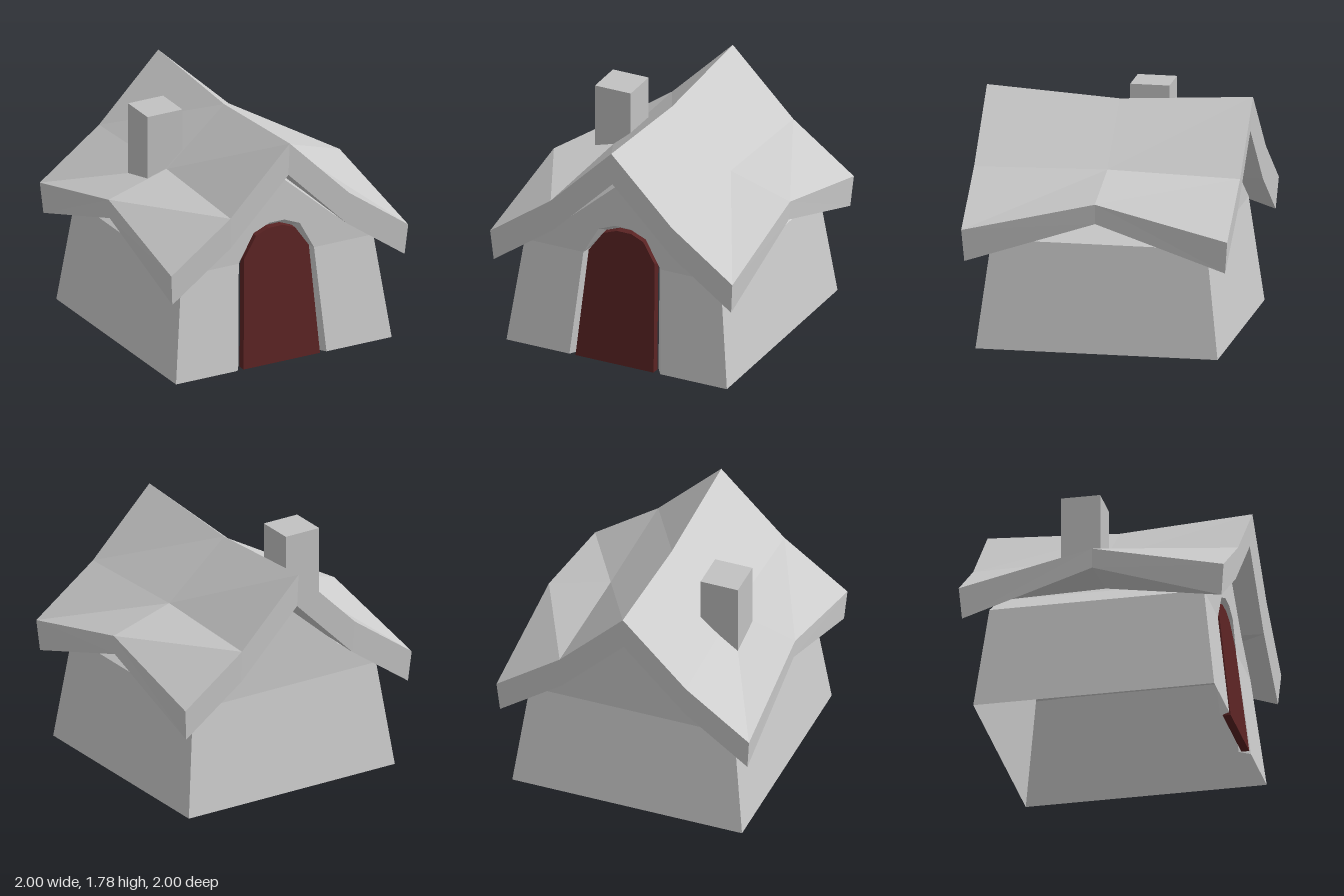
import * as THREE from 'three';

// Flat-shaded quad strip between two matching rows of [x, y, z] points
function strip(a, b) {
  const pos = [];
  for (let i = 0; i < a.length - 1; i++) {
    pos.push(...a[i], ...b[i], ...b[i + 1], ...a[i], ...b[i + 1], ...a[i + 1]);
  }
  const g = new THREE.BufferGeometry();
  g.setAttribute('position', new THREE.Float32BufferAttribute(pos, 3));
  g.computeVertexNormals();
  return g;
}

// Flat outline in x/y, pushed onto a surface z(y)
function panel(points, z) {
  const shape = new THREE.Shape(points.map(([x, y]) => new THREE.Vector2(x, y)));
  const g = new THREE.ShapeGeometry(shape).toNonIndexed();
  const p = g.attributes.position;
  for (let i = 0; i < p.count; i++) p.setZ(i, z(p.getY(i)));
  g.computeVertexNormals();
  return g;
}

// Half profile from the centre outwards -> full profile from -x to +x
const mirror = half => [
  ...half.slice(1).reverse().map(([x, y, ...r]) => [-x, y, ...r]),
  ...half,
];

export function createModel() {
  const model = new THREE.Group();
  const stone = new THREE.MeshStandardMaterial({ color: 0xcccccc, side: THREE.DoubleSide });
  stone.name = 'pale grey';
  const brick = new THREE.MeshStandardMaterial({ color: 0xc2c2c2 });
  brick.name = 'chimney grey';
  const red = new THREE.MeshStandardMaterial({ color: 0x5a2323, side: THREE.DoubleSide });
  red.name = 'dark red';

  const group = name => {
    const g = new THREE.Group();
    g.name = name;
    model.add(g);
    return g;
  };
  const add = (parent, name, geometry, material) => {
    const m = new THREE.Mesh(geometry, material);
    m.name = name;
    parent.add(m);
    return m;
  };

  // Walls lean inwards up to the eaves, gables stand upright
  const eave = 0.81;
  const wallZ = y => 0.91 - 0.1 * Math.min(y / eave, 1);
  const profile = mirror([[0, 1.46], [0.48, 1.035], [0.81, eave], [0.91, 0]]);
  const gable = profile.slice(1, -1);
  const opening = [[-0.39, 0], [-0.325, eave], [-0.2, 1.03], [-0.065, 1.085],
    [0.06, 1.085], [0.19, 1.03], [0.31, eave], [0.36, 0]];
  const doorEdge = [[-0.34, 0], [-0.28, 0.84], [-0.17, 0.995], [-0.06, 1.035],
    [0.06, 1.035], [0.16, 0.995], [0.265, 0.84], [0.305, 0]];

  const walls = group('walls');
  add(walls, 'sideWallsAndCeiling', strip(
    profile.map(([x, y]) => [x, y, wallZ(y)]),
    profile.map(([x, y]) => [x, y, -wallZ(y)])), stone);
  add(walls, 'backWall', panel([[-0.91, 0], [0.91, 0], [0.81, eave], [-0.81, eave]], y => -wallZ(y)), stone);
  add(walls, 'backGable', panel(gable, y => -wallZ(y)), stone);
  add(walls, 'frontWallRight', panel([[-0.91, 0], opening[0], opening[1], [-0.81, eave]], wallZ), stone);
  add(walls, 'frontWallLeft', panel([opening[7], [0.91, 0], [0.81, eave], opening[6]], wallZ), stone);
  add(walls, 'frontGable', panel([...gable, ...opening.slice(1, 7).reverse()], wallZ), stone);
  add(walls, 'doorReveal', strip(
    opening.map(([x, y]) => [x, y, wallZ(y)]),
    doorEdge.map(([x, y]) => [x, y, wallZ(y) - 0.08])), stone);

  // Door slab following the lean of the wall
  const door = group('door');
  const front = y => 0.91 - 0.1 * y / 0.84 * 0.98;
  const back = y => front(y) - 0.06;
  const outline = [...doorEdge, doorEdge[0]];
  add(door, 'doorFront', panel(doorEdge, front), red);
  add(door, 'doorBack', panel(doorEdge, back), red);
  add(door, 'doorEdge', strip(
    outline.map(([x, y]) => [x, y, front(y)]),
    outline.map(([x, y]) => [x, y, back(y)])), red);

  // Thick sagging roof: gable-end and middle cross-sections
  const row = (half, z) => mirror(half).map(([x, y]) => [x, y, z]);
  const endTop = [[0, 1.78], [0.5, 1.28], [1, 0.92]];
  const endLow = [[0, 1.52], [0.49, 1.03], [0.98, 0.68]];
  const top = [row(endTop, 1), row([[0, 1.72], [0.485, 1.3], [0.975, 1.155]], 0), row(endTop, -1)];
  const low = [row(endLow, 0.98), row([[0, 1.465], [0.48, 1.055], [0.965, 1.005]], 0), row(endLow, -0.98)];
  const roof = group('roof');
  for (const i of [0, 1]) {
    add(roof, 'roofTop', strip(top[i + 1], top[i]), stone);
    add(roof, 'roofUnderside', strip(low[i], low[i + 1]), stone);
  }
  for (const i of [0, 2]) add(roof, 'gableFascia', strip(top[i], low[i]), stone);
  for (const k of [0, 4]) add(roof, 'eaveFascia', strip(top.map(r => r[k]), low.map(r => r[k])), stone);

  // Square chimney on the right slope
  const chimney = add(model, 'chimney', new THREE.BoxGeometry(0.295, 0.63, 0.295), brick);
  chimney.position.set(-0.493, 1.43, -0.157);

  return model;
}
